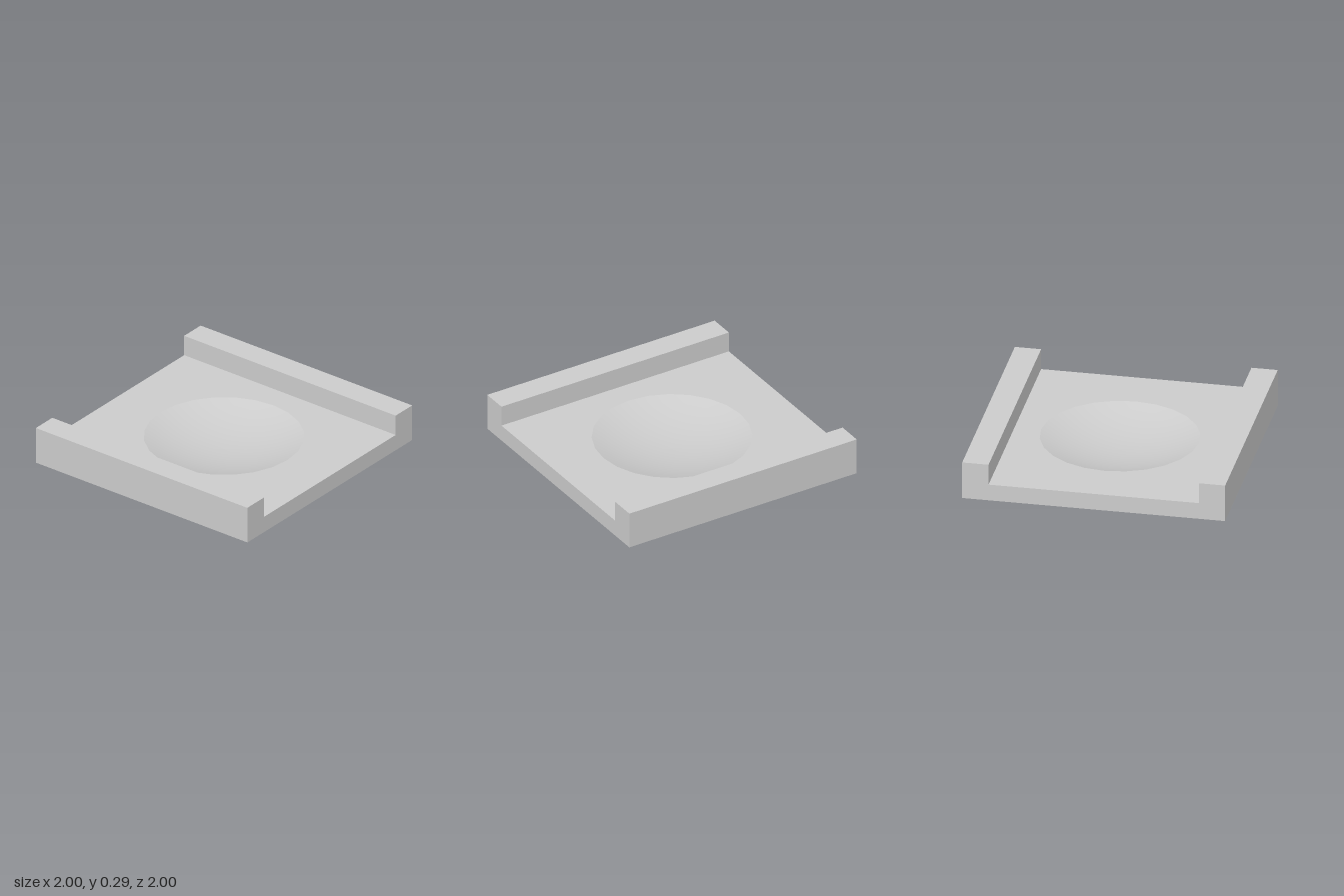
import * as THREE from 'three';

const HEIGHT = 0.295, FLOOR = 0.13, INNER = 0.8;
const RADIUS = 0.6, DEPTH = 0.11, SIDES = 24;

export function createModel() {
  const model = new THREE.Group();
  const material = new THREE.MeshStandardMaterial({ color: 0xcccccc });
  const add = (name, geometry, parent = model) => {
    const mesh = new THREE.Mesh(geometry, material);
    mesh.name = name;
    parent.add(mesh);
    return mesh;
  };

  // Raised rails along both sides
  for (const [name, side] of [['leftRail', 1], ['rightRail', -1]]) {
    add(name, new THREE.BoxGeometry(1 - INNER, HEIGHT, 2))
      .position.set(side * (1 + INNER) / 2, HEIGHT / 2, 0);
  }

  // Floor slab between the rails, its top opened for the dish
  const floor = new THREE.Group();
  floor.name = 'floor';
  model.add(floor);

  const top = new THREE.Shape([[-INNER, -1], [INNER, -1], [INNER, 1], [-INNER, 1]]
    .map(([x, y]) => new THREE.Vector2(x, y)));
  top.holes.push(new THREE.Path(Array.from({ length: SIDES }, (_, i) => {
    const a = (i / SIDES) * Math.PI * 2;
    return new THREE.Vector2(RADIUS * Math.sin(a), RADIUS * Math.cos(a));
  })));
  add('floorTop', new THREE.ShapeGeometry(top).rotateX(-Math.PI / 2), floor).position.y = FLOOR;
  add('floorUnderside', new THREE.PlaneGeometry(2 * INNER, 2).rotateX(Math.PI / 2), floor);
  for (const [name, turn] of [['floorFrontEnd', 0], ['floorBackEnd', Math.PI]]) {
    const end = new THREE.PlaneGeometry(2 * INNER, FLOOR).translate(0, FLOOR / 2, 1).rotateY(turn);
    add(name, end, floor);
  }

  // Shallow spherical dish, profiled from the rim down to the centre
  const sphere = (RADIUS ** 2 + DEPTH ** 2) / (2 * DEPTH);
  const edge = Math.asin(RADIUS / sphere);
  const profile = Array.from({ length: 9 }, (_, i) => {
    const a = edge * (1 - i / 8);
    return new THREE.Vector2(sphere * Math.sin(a), FLOOR - DEPTH + sphere * (1 - Math.cos(a)));
  });
  add('dish', new THREE.LatheGeometry(profile, SIDES));

  return model;
}
